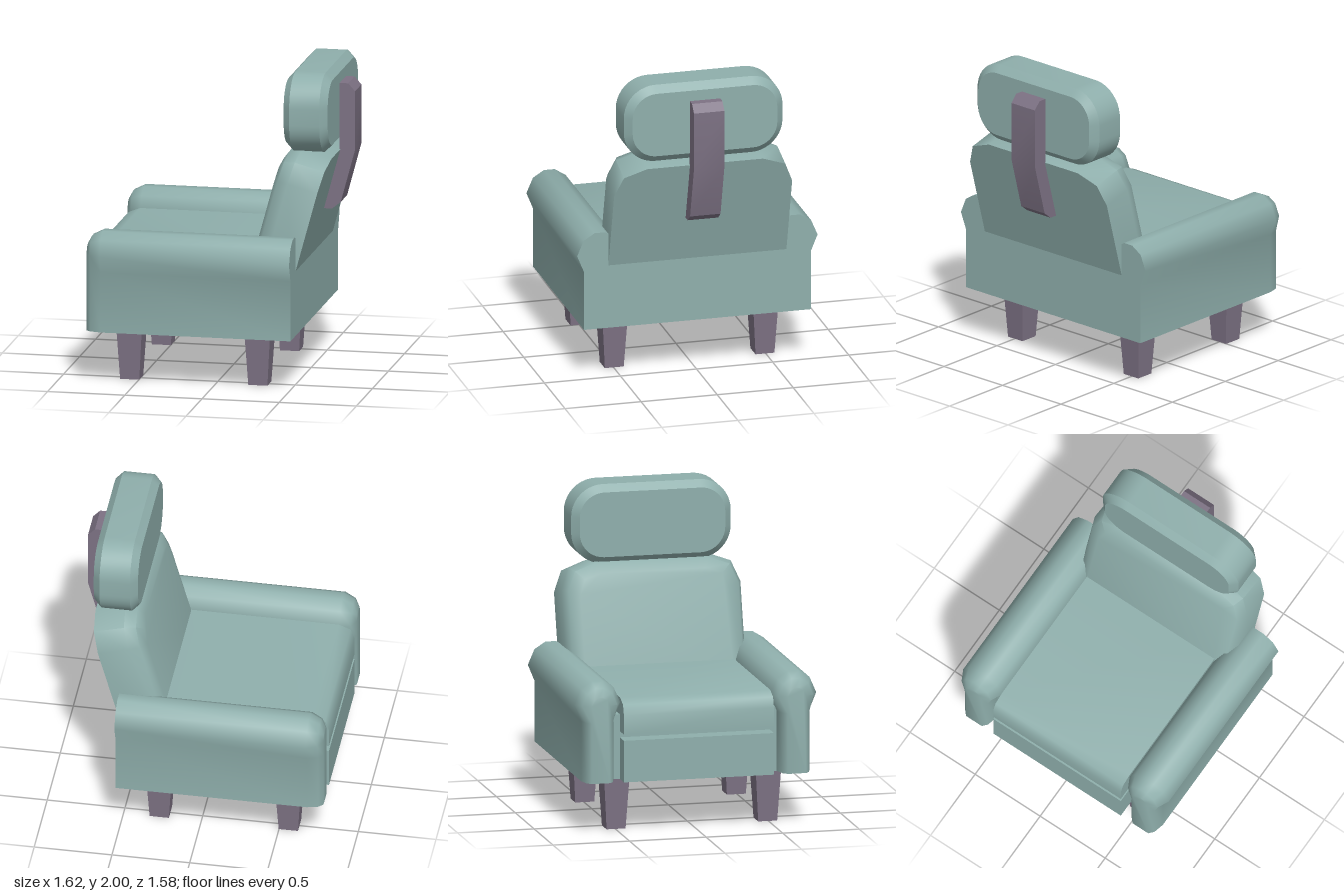
import * as THREE from 'three';
import { toCreasedNormals } from 'three/addons/utils/BufferGeometryUtils.js';

const fabric = new THREE.MeshStandardMaterial({ color: 0x8fafac });
fabric.name = 'sageFabric';
const wood = new THREE.MeshStandardMaterial({ color: 0x7d7284 });
wood.name = 'mauveWood';

function add(parent, name, geometry, material) {
  const mesh = new THREE.Mesh(geometry, material);
  mesh.name = name;
  parent.add(mesh);
  return mesh;
}

// Box given by its min and max corners
function boxBetween(x0, x1, y0, y1, halfZ) {
  return new THREE.BoxGeometry(x1 - x0, y1 - y0, halfZ * 2)
    .translate((x0 + x1) / 2, (y0 + y1) / 2, 0);
}

// Side profile in x,y extruded across z
function slab(points, halfZ, crease) {
  const shape = new THREE.Shape(points.map(([x, y]) => new THREE.Vector2(x, y)));
  const geo = new THREE.ExtrudeGeometry(shape, { depth: halfZ * 2, bevelEnabled: false });
  return toCreasedNormals(geo.translate(0, 0, -halfZ), crease);
}

// Closed loft of [z, y] rings (counter-clockwise) through stations of falling x
function loft(stations, crease) {
  const n = stations[0].ring.length;
  const positions = [], index = [];
  stations.forEach(({ x, ring }) => ring.forEach(([z, y]) => positions.push(x, y, z)));
  for (let s = 0; s < stations.length - 1; s++) {
    for (let i = 0; i < n; i++) {
      const a = s * n + i, b = s * n + (i + 1) % n;
      index.push(a, b, b + n, a, b + n, a + n);
    }
  }
  const cap = (ring) => THREE.ShapeUtils.triangulateShape(
    ring.map(([z, y]) => new THREE.Vector2(z, y)), []);
  const last = (stations.length - 1) * n;
  cap(stations[0].ring).forEach(([a, b, c]) => index.push(a, c, b));
  cap(stations[stations.length - 1].ring).forEach(([a, b, c]) => index.push(last + a, last + b, last + c));
  const geo = new THREE.BufferGeometry();
  geo.setAttribute('position', new THREE.Float32BufferAttribute(positions, 3));
  geo.setIndex(index);
  return toCreasedNormals(geo, crease);
}

// Mirror the +z half of a ring, listed from bottom to top
function mirrored(half) {
  return [...half, ...half.slice().reverse().map(([z, y]) => [-z, y])];
}

// Arm section: straight side wall below a faceted roll
function armRing(inset) {
  const k = 1 - inset / 0.15;
  const w = 0.105 - inset * 0.5;
  const top = (y) => 0.84 + (y - 0.84) * k;
  return mirrored([
    [w, 0.34], [w, 0.73], [0.15 * k, 0.84], [0.107 * k, top(0.94)], [0.035 * k, top(0.985)],
  ]);
}

// Backrest section: chamfered shoulders, shrinking towards the front
function backRing(inset) {
  return mirrored([
    [0.585 - inset, -0.1], [0.585 - inset, 0.53 - inset * 0.4],
    [0.53 - inset * 0.8, 0.665 - inset * 0.8], [0.38 - inset * 0.4, 0.72 - inset],
  ]);
}

function headrestGeometry() {
  const w = 0.475, h = 0.21, r = 0.16, q = Math.PI / 2;
  const shape = new THREE.Shape();
  shape.absarc(w - r, h - r, r, 0, q);
  shape.absarc(r - w, h - r, r, q, 2 * q);
  shape.absarc(r - w, r - h, r, 2 * q, 3 * q);
  shape.absarc(w - r, r - h, r, 3 * q, 4 * q);
  const geo = new THREE.ExtrudeGeometry(shape, {
    depth: 0.195, bevelSize: 0.046, bevelThickness: 0.045, bevelSegments: 1, curveSegments: 5,
  });
  return toCreasedNormals(geo.rotateY(q).translate(0.465, 1.744, 0), 0.7);
}

export function createModel() {
  const chair = new THREE.Group();
  chair.name = 'armchair';

  // Base, front panel and seat cushion
  add(chair, 'base', boxBetween(-0.7, 0.52, 0.34, 0.76, 0.6), fabric);
  add(chair, 'frontPanel', boxBetween(-0.81, -0.68, 0.34, 0.61, 0.49), fabric);
  add(chair, 'seatCushion', slab([
    [0.42, 0.65], [0.42, 0.87], [-0.71, 0.87], [-0.785, 0.84], [-0.81, 0.775], [-0.81, 0.65],
  ].reverse(), 0.49, 0.9), fabric);

  // Arms with rounded front ends
  const armGeo = loft([
    { x: 0.52, ring: armRing(0) }, { x: -0.71, ring: armRing(0) },
    { x: -0.78, ring: armRing(0.035) }, { x: -0.81, ring: armRing(0.09) },
  ], 0.9);
  for (const side of [1, -1]) {
    add(chair, side > 0 ? 'armPositiveZ' : 'armNegativeZ', armGeo, fabric).position.z = side * 0.64;
  }

  // Tilted backrest, flat behind and softened in front
  const back = add(chair, 'backrest', loft([
    { x: 0, ring: backRing(0) }, { x: -0.2, ring: backRing(0) },
    { x: -0.27, ring: backRing(0.03) }, { x: -0.3, ring: backRing(0.1) },
  ], 0.9), fabric);
  back.position.set(0.52, 0.76, 0);
  back.rotation.z = -0.267;

  // Headrest and its bent support
  add(chair, 'headrest', headrestGeometry(), fabric);
  add(chair, 'headrestSupport', slab([
    [0.6, 1.065], [0.655, 1.065], [0.712, 1.11], [0.805, 1.455], [0.805, 1.835],
    [0.76, 1.885], [0.703, 1.885], [0.703, 1.44],
  ], 0.1, 0.3), wood);

  // Tapered square legs
  const legGeo = new THREE.CylinderGeometry(0.083 * Math.SQRT2, 0.062 * Math.SQRT2, 0.34, 4)
    .rotateY(Math.PI / 4).translate(0, 0.17, 0);
  const flatLeg = toCreasedNormals(legGeo, 0.3);
  for (const [name, x] of [['frontLeg', -0.56], ['backLeg', 0.27]]) {
    for (const z of [0.495, -0.495]) add(chair, name, flatLeg, wood).position.set(x, 0, z);
  }
  return chair;
}
